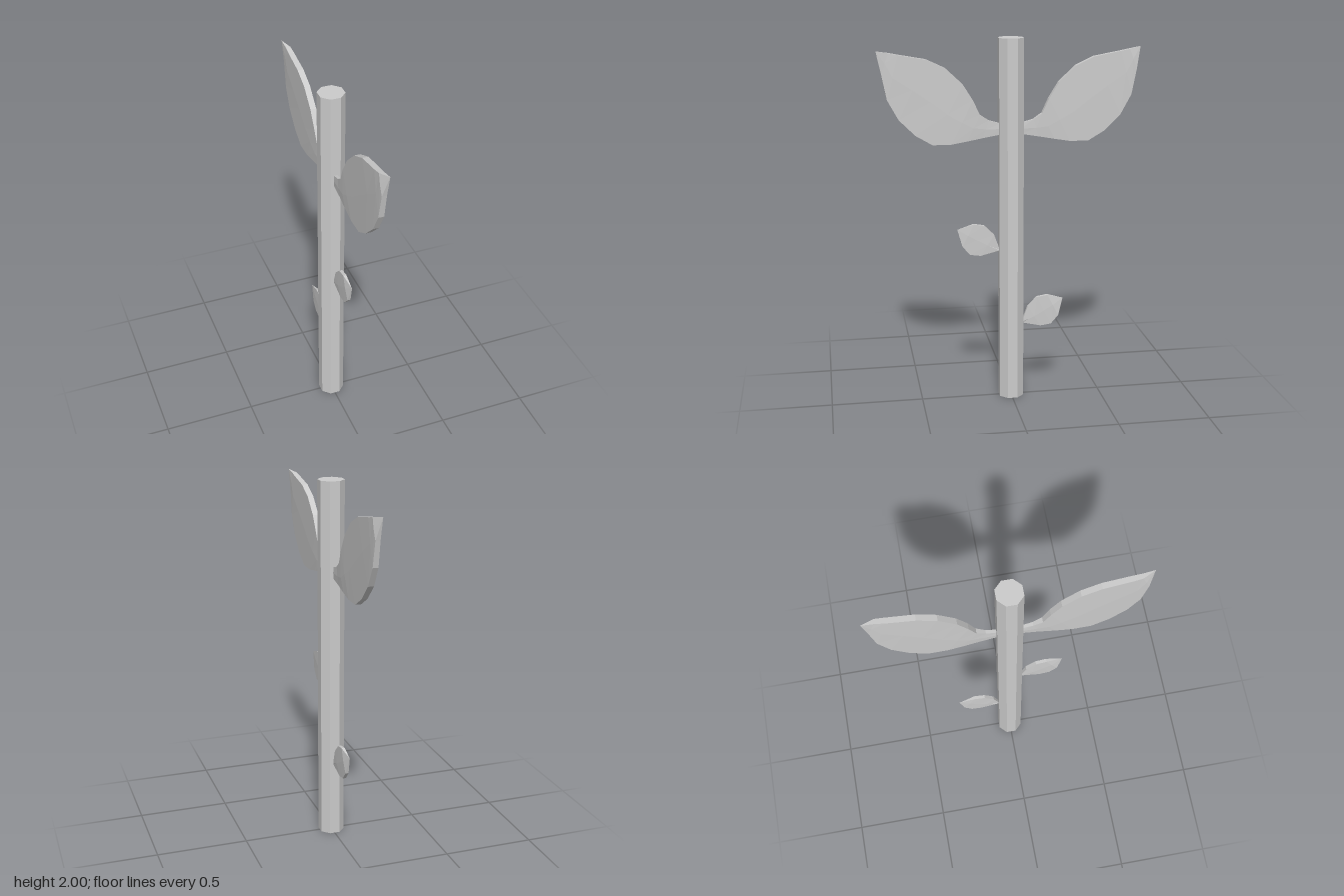
import * as THREE from 'three';

const material = new THREE.MeshStandardMaterial({ color: 0xcccccc, flatShading: true });

// Cross-sections from base to tip: [upper z, upper y, lower z, lower y, half thickness]
const LARGE_LEAF = [
  [0.055, 1.548, 0.055, 1.489, 0.008],
  [0.12, 1.566, 0.15, 1.473, 0.010],
  [0.167, 1.598, 0.235, 1.458, 0.014],
  [0.204, 1.677, 0.32, 1.444, 0.016],
  [0.257, 1.762, 0.42, 1.444, 0.016],
  [0.347, 1.847, 0.51, 1.497, 0.016],
  [0.447, 1.894, 0.595, 1.582, 0.016],
  [0.59, 1.92, 0.653, 1.688, 0.015],
  [0.64, 1.93, 0.68, 1.825, 0.013],
];
const SMALL_LEAF = [
  [0.062, 0.852, 0.062, 0.845, 0.007],
  [0.093, 0.937, 0.167, 0.822, 0.009],
  [0.146, 0.99, 0.225, 0.83, 0.009],
  [0.204, 1.0, 0.267, 0.878, 0.009],
];

// Leaf blade: six-sided sections with a slight midrib, closing to a point at the tip
function leafGeometry(sections, tip) {
  const rings = sections.map(([uz, uy, lz, ly, t]) => {
    const rz = (uz + lz) / 2, ry = (uy + ly) / 2, rib = t + 0.002;
    return [[t, uy, uz], [rib, ry, rz], [t, ly, lz], [-t, ly, lz], [-rib, ry, rz], [-t, uy, uz]];
  });
  const positions = [];
  rings.forEach((ring, i) => {
    const next = rings[i + 1];
    for (let j = 0; j < 6; j++) {
      const k = (j + 1) % 6;
      if (next) {
        positions.push(...ring[j], ...next[j], ...next[k]);
        positions.push(...ring[j], ...next[k], ...ring[k]);
      } else {
        positions.push(...ring[j], ...tip, ...ring[k]);
      }
    }
  });
  const geometry = new THREE.BufferGeometry();
  geometry.setAttribute('position', new THREE.Float32BufferAttribute(positions, 3));
  geometry.computeVertexNormals();
  return geometry;
}

export function createModel() {
  const group = new THREE.Group();
  const add = (name, geometry, y = 0, turn = 0) => {
    const mesh = new THREE.Mesh(geometry, material);
    mesh.name = name;
    mesh.position.y = y;
    mesh.rotation.y = turn;
    group.add(mesh);
  };

  // Octagonal stem with flats facing the axes
  const stem = new THREE.CylinderGeometry(0.0715, 0.0715, 2, 8);
  stem.rotateY(Math.PI / 8);
  add('stem', stem, 1);

  // Opposite pair of large leaves near the top
  const large = leafGeometry(LARGE_LEAF, [0.015, 1.942, 0.705]);
  add('largeLeafFront', large);
  add('largeLeafBack', large, 0, Math.PI);

  // Small leaves alternating lower down
  const small = leafGeometry(SMALL_LEAF, [0.006, 0.974, 0.294]);
  add('smallLeafFront', small);
  add('smallLeafBack', small, -0.422, Math.PI);

  return group;
}
